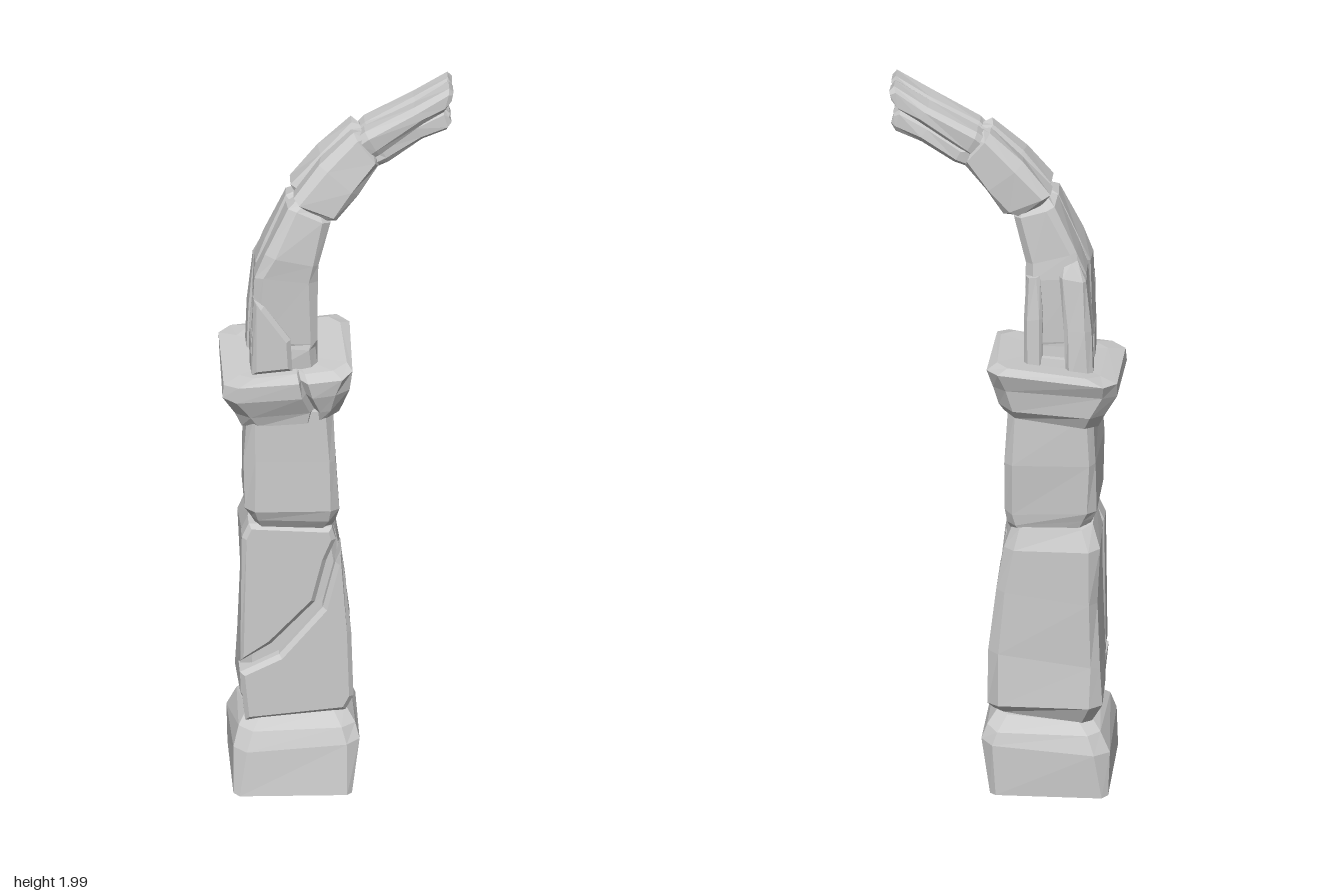
import * as THREE from 'three';

const stone = new THREE.MeshStandardMaterial({ color: 0xcccccc, flatShading: true });

// Small repeatable noise for the hewn look
let seed = 7;
const rough = (amount) => {
  seed = (seed * 16807) % 2147483647;
  return (seed / 2147483647 - 0.5) * 2 * amount;
};

function addMesh(parent, name, geometry) {
  const mesh = new THREE.Mesh(geometry, stone);
  mesh.name = name;
  parent.add(mesh);
  return mesh;
}

// One cross-section: [outerX, outerY, innerX, innerY, backZ, frontZ]. A rectangle with cut
// corners, spanned from the outer to the inner point, with optional grooves in its sides.
function ring([ox, oy, ix, iy, z0, z1], { c = 0.025, inner = 0, outer = 0, notch = null, tilt = 0, jitter = 0.005 }) {
  const w = Math.hypot(ix - ox, iy - oy), zm = (z0 + z1) / 2, g = (z1 - z0) * 0.2;
  const pts = [[w - c, z0], [w, z0 + c]];
  if (inner) pts.push([w, zm - g], [w - inner, zm - g * 0.8], [w - inner, zm + g * 0.8], [w, zm + g]);
  pts.push([w, z1 - c], [w - c, z1]);
  if (notch) {
    const n = notch * w;
    pts.push([n + 0.012, z1], [n, z1 - 0.03], [n - 0.012, z1]);
  }
  pts.push([c, z1], [0, z1 - c]);
  if (outer) pts.push([0, zm + 0.012], [outer, zm], [0, zm - 0.012]);
  pts.push([0, z0 + c], [c, z0]);
  return pts.map(([u, z]) => new THREE.Vector3(
    ox + (ix - ox) * u / w + rough(jitter),
    oy + (iy - oy) * u / w + tilt * z + rough(jitter),
    z + rough(jitter)));
}

// Skin a stack of cross-sections and close both ends
function loft(sections, options = {}) {
  const rings = sections.map((s) => ring(s, { ...options, ...(s[6] || {}) }));
  const n = rings[0].length, pos = [];
  const tri = (...v) => v.forEach((p) => pos.push(p.x, p.y, p.z));
  const centre = (r) => r.reduce((a, p) => a.add(p), new THREE.Vector3()).divideScalar(n);
  const low = rings[0], high = rings[rings.length - 1], lowC = centre(low), highC = centre(high);
  for (let i = 0; i < n; i++) {
    const j = (i + 1) % n;
    for (let k = 0; k < rings.length - 1; k++) {
      const a = rings[k], b = rings[k + 1];
      tri(a[i], b[i], a[j]);
      tri(a[j], b[i], b[j]);
    }
    tri(lowC, low[i], low[j]);
    tri(highC, high[j], high[i]);
  }
  const geometry = new THREE.BufferGeometry();
  geometry.setAttribute('position', new THREE.Float32BufferAttribute(pos, 3));
  geometry.computeVertexNormals();
  return geometry;
}

// Bevelled facing slab cut to an outline in the front plane
function slab(outline, z0, z1) {
  const b = 0.012;
  const shape = new THREE.Shape(outline.map(([x, y]) => new THREE.Vector2(x, y)));
  const geometry = new THREE.ExtrudeGeometry(shape, {
    depth: z1 - z0 - 2 * b, bevelThickness: b, bevelSize: b, bevelOffset: -b, bevelSegments: 1,
  });
  return geometry.translate(0, 0, z0 + b);
}

export function createModel() {
  seed = 7;
  const model = new THREE.Group();
  model.name = 'brokenArchPillar';

  // Base block, bulging and then drawn in at the top
  addMesh(model, 'base', loft([
    [-0.285, 0.01, 0.03, 0.005, -0.17, 0.188, { c: 0.015, jitter: 0.003 }],
    [-0.283, 0.13, 0.052, 0.15, -0.172, 0.172],
    [-0.265, 0.18, 0.04, 0.19, -0.16, 0.155],
    [-0.24, 0.205, 0.015, 0.225, -0.125, 0.11],
  ], { c: 0.035 }));

  // Lower shaft: core plus two facing slabs either side of the diagonal crack
  const shaft = new THREE.Group();
  shaft.name = 'lowerShaft';
  model.add(shaft);
  addMesh(shaft, 'shaftCore', loft([
    [-0.235, 0.195, 0.02, 0.225, -0.12, 0.085],
    [-0.262, 0.25, 0.035, 0.25, -0.142, 0.088],
    [-0.262, 0.36, 0.032, 0.4, -0.142, 0.088],
    [-0.255, 0.55, 0.018, 0.58, -0.142, 0.085],
    [-0.255, 0.71, -0.002, 0.7, -0.138, 0.08],
    [-0.235, 0.765, -0.02, 0.755, -0.12, 0.065],
  ], { c: 0.028 }));
  addMesh(shaft, 'upperFacing', slab([
    [-0.262, 0.36], [-0.18, 0.41], [-0.065, 0.53], [-0.035, 0.65], [-0.01, 0.71],
    [-0.02, 0.745], [-0.24, 0.76], [-0.258, 0.72],
  ], 0.03, 0.106));
  addMesh(shaft, 'lowerFacing', slab([
    [-0.25, 0.195], [0.015, 0.22], [0.036, 0.26], [0.03, 0.45], [0.004, 0.69],
    [-0.012, 0.65], [-0.045, 0.52], [-0.16, 0.385], [-0.264, 0.335],
  ], 0.03, 0.122));

  // Upper shaft
  addMesh(model, 'upperShaft', loft([
    [-0.22, 0.74, -0.03, 0.73, -0.1, 0.09],
    [-0.238, 0.78, -0.012, 0.765, -0.115, 0.11],
    [-0.25, 0.81, -0.002, 0.8, -0.122, 0.125],
    [-0.25, 0.95, -0.01, 0.95, -0.13, 0.127],
    [-0.245, 1.09, -0.018, 1.1, -0.13, 0.123],
  ], { c: 0.022 }));

  // Capital with a crack running down its front
  addMesh(model, 'capital', loft([
    [-0.255, 1.055, -0.005, 1.085, -0.14, 0.125, { notch: 0.74 }],
    [-0.272, 1.095, 0.008, 1.11, -0.16, 0.135, { notch: 0.72 }],
    [-0.308, 1.15, 0.026, 1.165, -0.172, 0.16, { notch: 0.66 }],
    [-0.308, 1.19, 0.036, 1.22, -0.186, 0.163, { notch: 0.6 }],
    [-0.26, 1.205, 0.015, 1.23, -0.155, 0.13, { notch: 0.56 }],
  ], { c: 0.035, tilt: -0.07 }));

  // Curved arm in three stones, hollowed along the inside of the bend
  const arm = new THREE.Group();
  arm.name = 'curvedArm';
  model.add(arm);
  addMesh(arm, 'armLowerStone', loft([
    [-0.235, 1.18, -0.058, 1.2, -0.085, 0.1, { inner: 0.004 }],
    [-0.232, 1.27, -0.06, 1.27, -0.085, 0.103, { inner: 0.004 }],
    [-0.231, 1.285, -0.061, 1.285, -0.085, 0.104]
    , [-0.222, 1.48, -0.062, 1.46, -0.082, 0.113],
    [-0.195, 1.54, -0.055, 1.51, -0.08, 0.113],
    [-0.135, 1.67, -0.022, 1.63, -0.075, 0.105],
    [-0.11, 1.685, -0.03, 1.65, -0.055, 0.085],
  ], { c: 0.02, inner: 0.03, outer: 0.012 }));
  addMesh(arm, 'armMiddleStone', loft([
    [-0.105, 1.675, -0.03, 1.625, -0.055, 0.085],
    [-0.122, 1.7, -0.003, 1.64, -0.075, 0.105],
    [-0.05, 1.79, 0.05, 1.705, -0.076, 0.092],
    [0.035, 1.87, 0.105, 1.775, -0.07, 0.072],
    [0.06, 1.865, 0.105, 1.8, -0.05, 0.05],
  ], { c: 0.02, inner: 0.02, outer: 0.018 }));
  addMesh(arm, 'armTipUpper', loft([
    [0.045, 1.85, 0.08, 1.79, -0.06, 0.06],
    [0.07, 1.875, 0.105, 1.81, -0.068, 0.068],
    [0.2, 1.945, 0.225, 1.9, -0.068, 0.07],
    [0.29, 1.998, 0.278, 1.93, -0.065, 0.068, { outer: 0.006, jitter: 0.002 }],
    [0.302, 1.985, 0.295, 1.955, -0.06, 0.06, { c: 0.008, outer: 0.004, jitter: 0.002 }],
  ], { c: 0.014, outer: 0.022, jitter: 0.003 }));
  addMesh(arm, 'armTipLower', loft([
    [0.07, 1.83, 0.1, 1.77, -0.055, 0.05],
    [0.105, 1.835, 0.13, 1.785, -0.065, 0.055],
    [0.2, 1.895, 0.22, 1.842, -0.06, 0.052],
    [0.275, 1.93, 0.288, 1.868, -0.055, 0.045],
    [0.293, 1.915, 0.298, 1.885, -0.045, 0.035, { c: 0.008 }],
  ], { c: 0.014, jitter: 0.003 }));

  // Raised frame left around the sunken panel at the back of the arm
  const frame = new THREE.Group();
  frame.name = 'backFrame';
  arm.add(frame);
  addMesh(frame, 'outerPost', loft([
    [-0.238, 1.19, -0.165, 1.19, -0.118, -0.04],
    [-0.234, 1.33, -0.165, 1.33, -0.112, -0.04],
    [-0.222, 1.47, -0.15, 1.48, -0.1, -0.04],
    [-0.195, 1.52, -0.15, 1.5, -0.085, -0.04],
  ], { c: 0.012, jitter: 0.003 }));
  addMesh(frame, 'innerPost', loft([
    [-0.105, 1.19, -0.055, 1.2, -0.105, -0.04],
    [-0.105, 1.36, -0.058, 1.35, -0.1, -0.04],
    [-0.1, 1.48, -0.06, 1.47, -0.092, -0.04],
  ], { c: 0.01, jitter: 0.003 }));
  addMesh(frame, 'sill', loft([
    [-0.2, 1.19, -0.07, 1.2, -0.108, -0.04],
    [-0.2, 1.24, -0.07, 1.25, -0.1, -0.04],
  ], { c: 0.01, jitter: 0.003 }));

  // Broken chip standing proud on the front of the arm
  addMesh(arm, 'frontChip', slab([
    [-0.232, 1.2], [-0.125, 1.21], [-0.13, 1.3], [-0.2, 1.4], [-0.228, 1.42],
  ], 0.07, 0.12));

  return model;
}
